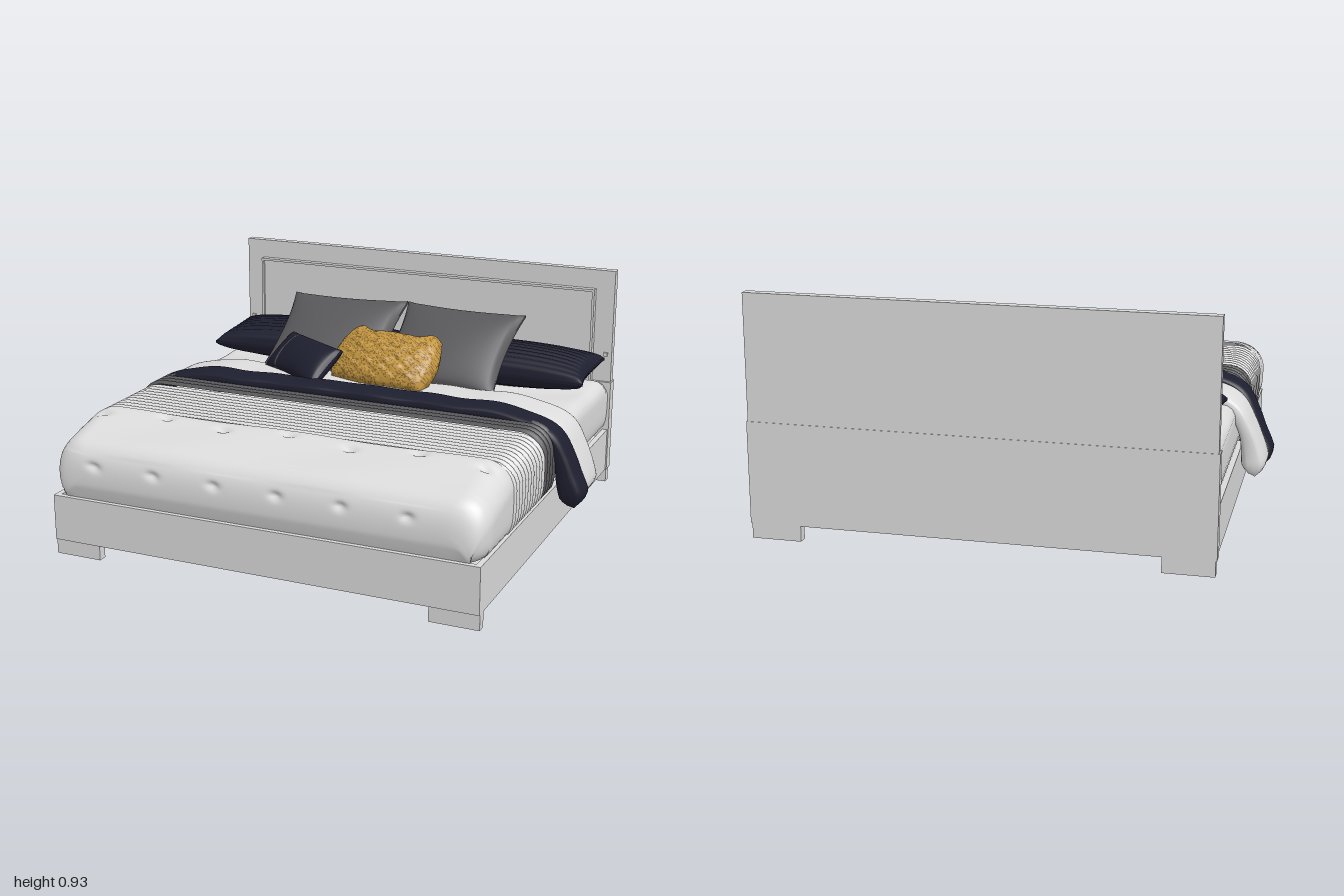
import * as THREE from 'three';
import { mergeGeometries } from 'three/addons/utils/BufferGeometryUtils.js';

const mat = (name, color, side = THREE.FrontSide) => {
  const m = new THREE.MeshStandardMaterial({ color, side });
  m.name = name;
  return m;
};

// Smooth surface from a rule fn(u, v) -> [x, y, z]
function grid(fn, nu, nv) {
  const pos = [], idx = [];
  for (let j = 0; j <= nv; j++) for (let i = 0; i <= nu; i++) pos.push(...fn(i / nu, j / nv));
  for (let j = 0; j < nv; j++) for (let i = 0; i < nu; i++) {
    const a = j * (nu + 1) + i, d = a + nu + 1;
    idx.push(a, a + 1, d, a + 1, d + 1, d);
  }
  const g = new THREE.BufferGeometry();
  g.setAttribute('position', new THREE.Float32BufferAttribute(pos, 3));
  g.setIndex(idx);
  g.computeVertexNormals();
  return g;
}

// Point on an upside-down U with rounded corners and a tucked-in foot, walked from -x to +x
function arch(u, w, h, radius) {
  const r = Math.min(radius, h), side = h - r, arc = Math.PI * r / 2, flat = w - r;
  const s = (u < 0.5 ? u : 1 - u) * 2 * (side + arc + flat), sign = u < 0.5 ? -1 : 1;
  if (s < side) return [sign * (w - 0.03 * Math.exp(-s / 0.025)), s];
  if (s < side + arc) {
    const a = (s - side) / r;
    return [sign * (flat + r * Math.cos(a)), side + r * Math.sin(a)];
  }
  return [sign * Math.max(0, flat - (s - side - arc)), h];
}

// Stuffed cushion: positive pinch gives pointed corners, negative gives a rounded outline
function cushion(w, h, d, { ribs = 0, lump = 0, ears = 0, s0 = -1, s1 = 1, n = 40, pinch = 0.07, fill = 0.45 } = {}) {
  const outline = (s, t) => [
    s * w / 2 * (1 - pinch * (1 - t * t)),
    t * h / 2 * (1 - pinch * 1.3 * (1 - s * s)) + ears * Math.max(0, t) ** 3 * Math.exp(-(((Math.abs(s) - 0.82) / 0.2) ** 2))];
  const face = dir => grid((u, v) => {
    const s = dir > 0 ? s0 + (s1 - s0) * u : s1 - (s1 - s0) * u, t = 2 * v - 1;
    const puff = Math.pow((1 - s * s) * (1 - t * t), fill);
    const rib = ribs ? 0.9 + 0.1 * Math.abs(Math.sin(v * Math.PI * ribs)) : 1;
    const bump = lump * (Math.sin(s * 17 + t * 5) * Math.sin(t * 13 - s * 4) + 0.5 * Math.sin(s * 31) * Math.sin(t * 27));
    return [...outline(s, t), dir * (d / 2 * puff * rib + 0.006 + bump * puff)];
  }, n, n);
  const parts = [face(1), face(-1)];
  // narrow hem joining the two faces
  const rim = [[-1, 1], [1, 1], [1, -1], [-1, -1]];
  if (s0 === -1) parts.push(grid((u, v) => {
    const k = Math.min(3, Math.floor(u * 4)), f = u * 4 - k, a = rim[k], b = rim[(k + 1) % 4];
    return [...outline(a[0] + (b[0] - a[0]) * f, a[1] + (b[1] - a[1]) * f), 0.006 - 0.012 * v];
  }, 4 * n, 1));
  return mergeGeometries(parts);
}

// Assign scattered triangles to a second material
function speckle(g, share) {
  const old = g.index.array, a = [], b = [];
  let seed = 7;
  for (let i = 0; i < old.length; i += 3) {
    seed = (seed * 16807) % 2147483647;
    (seed / 2147483647 < share ? b : a).push(old[i], old[i + 1], old[i + 2]);
  }
  g.setIndex([...a, ...b]);
  g.addGroup(0, a.length, 0);
  g.addGroup(a.length, b.length, 1);
  return g;
}

// Padded cloth lying across the bed and hanging down both sides
function drape(points, zc, hz, thick, slant) {
  const mirrored = points.slice().reverse().map(([x, y]) => [-x, y]);
  const all = [...mirrored, ...points].map(([x, y]) => new THREE.Vector3(x, y, 0));
  const curve = new THREE.CatmullRomCurve3(all);
  return grid((u, v) => {
    const p = curve.getPointAt(u), t = curve.getTangentAt(u), a = v * Math.PI * 2;
    const end = Math.min(u, 1 - u), close = Math.pow(Math.min(1, end / 0.02), 0.5);
    const drop = Math.max(0, 0.52 - p.y);
    const k = (thick + drop * 0.075) * close * (1 + 0.08 * Math.sin(u * 60));
    const c = Math.cos(a), s = Math.sin(a);
    const off = k * Math.sign(s) * Math.pow(Math.abs(s), 0.6);
    return [p.x - t.y * off, p.y + t.x * off,
      zc - slant * drop + hz * (0.75 + 0.25 * close) * Math.sign(c) * Math.pow(Math.abs(c), 0.6) + 0.004 * Math.sin(u * 47)];
  }, 140, 28);
}

export function createModel() {
  const root = new THREE.Group();
  root.name = 'bed';
  const wood = mat('pale grey wood', 0xdadada);
  const linen = mat('white linen', 0xdcdcdc, THREE.DoubleSide);
  const navy = mat('navy fabric', 0x1e1f2f, THREE.DoubleSide);
  const grey = mat('charcoal fabric', 0x58575a, THREE.DoubleSide);
  const gold = mat('gold fabric', 0xc4963f, THREE.DoubleSide);
  const bronze = mat('dark gold fabric', 0x856530, THREE.DoubleSide);

  const add = (name, geo, material, p = [0, 0, 0], r = [0, 0, 0]) => {
    const m = new THREE.Mesh(geo, material);
    m.name = name;
    m.position.set(...p);
    m.rotation.set(r[0], r[1], r[2], 'YXZ');
    root.add(m);
  };
  const box = (name, w, h, d, x, y, z) => add(name, new THREE.BoxGeometry(w, h, d), wood, [x, y, z]);

  // Headboard with two feet left by a cut-out
  const board = new THREE.Shape([[-0.86, 0], [-0.67, 0], [-0.67, 0.06], [0.67, 0.06], [0.67, 0],
    [0.86, 0], [0.86, 0.93], [-0.86, 0.93]].map(p => new THREE.Vector2(...p)));
  add('headboard', new THREE.ExtrudeGeometry(board, { depth: 0.037, bevelEnabled: false }), wood, [0, 0, -0.84]);
  box('headboardLowerPanel', 1.73, 0.39, 0.052, 0, 0.255, -0.816);
  box('headboardPanel', 1.56, 0.6, 0.022, 0, 0.55, -0.796);
  box('panelTopMoulding', 1.56, 0.01, 0.03, 0, 0.845, -0.79);

  // Frame rails and feet
  box('frontRail', 1.72, 0.18, 0.022, 0, 0.15, 0.826);
  for (const s of [-1, 1]) {
    box('sideRail', 0.022, 0.18, 1.61, s * 0.849, 0.15, 0.01);
    box('frontFoot', 0.19, 0.06, 0.036, s * 0.765, 0.03, 0.812);
    box('panelSideMoulding', 0.01, 0.4, 0.03, s * 0.775, 0.64, -0.79);
    box('headboardBolt', 0.016, 0.016, 0.012, s * 0.835, 0.57, -0.80);
  }
  box('baseBoard', 1.68, 0.04, 1.61, 0, 0.185, 0.01);

  // Mattress under a fitted sheet
  add('mattress', grid((u, v) => {
    const z = 0.05 - 0.84 * v, end = Math.min(1, (1 - v) / 0.04);
    const [x, y] = arch(u, 0.855, 0.225 - 0.02 * (1 - end), 0.05);
    return [x, 0.235 + y + (y > 0.19 ? 0.014 * Math.max(0, 1 - x * x * 1.4) + 0.003 * Math.sin(x * 13 + z * 21) : 0), z];
  }, 90, 40), linen);

  // Quilt foot end, rounded over, with one row of tufts on top and one on the front
  add('quiltFoot', grid((u, v) => {
    const a = Math.max(0, 1 - v / 0.6) * Math.PI / 2;
    const z = v < 0.6 ? 0.73 + 0.107 * Math.sin(a) : 0.73 - 0.21 * (v - 0.6) / 0.4;
    const rise = Math.min(1, Math.max(0, (0.75 - z) / 0.2));
    let [x, y] = arch(u, 0.87 - 0.07 * (1 - Math.cos(a)), (0.232 + 0.047 * rise) * Math.sqrt(Math.max(0, Math.cos(a))), 0.11);
    let zz = z - (z > 0.76 ? 0.02 * Math.exp(-y / 0.03) : 0);
    y += 0.235;
    for (let i = 0; i < 7; i++) {
      const topX = -0.78 + 0.26 * i, frontX = -0.68 + 0.253 * i;
      if (y > 0.44) y -= 0.018 * Math.exp(-((x - topX) ** 2) / 0.0008 - (z - (i % 2 ? 0.55 : 0.58)) ** 2 / 0.0003);
      if (z > 0.77 && i < 6) zz -= 0.015 * Math.exp(-((x - frontX) ** 2) / 0.0005 - (y - 0.375) ** 2 / 0.0002);
    }
    return [x, y + (y > 0.42 ? 0.003 * Math.sin(x * 9 + z * 15) : 0), zz];
  }, 150, 60), linen);

  // Pleated quilt bands
  const pleats = (name, z0, z1, count, material, h) => add(name, grid((u, v) => {
    const rib = Math.pow(Math.abs(Math.sin(v * Math.PI * count)), 0.6);
    const [x, y] = arch(u, 0.866 + 0.01 * rib, h + 0.01 * rib, 0.10);
    const sway = y > 0.2 ? 0.002 * Math.sin(x * 11) * Math.sin(v * Math.PI) : 0;
    return [x, 0.235 + y, z0 + (z1 - z0) * v + sway];
  }, 90, count * 8), material);
  pleats('quiltPleats', 0.525, 0.16, 11, linen, 0.263);
  pleats('quiltGreyBand', 0.16, 0.02, 4, grey, 0.272);

  // Turned-back navy quilt edge and sheet fold
  add('navyQuiltEdge', drape([[0.35, 0.522], [0.7, 0.51], [0.84, 0.455], [0.892, 0.37], [0.918, 0.28], [0.95, 0.178]],
    -0.002, 0.066, 0.026, 0.1), navy);
  add('sheetFold', drape([[0.35, 0.505], [0.7, 0.497], [0.84, 0.445], [0.892, 0.36], [0.915, 0.28], [0.932, 0.182]],
    -0.158, 0.1, 0.024, 0.03), linen);

  // Pillows and cushions
  for (const s of [-1, 1]) {
    add('sleepingPillow', cushion(0.82, 0.33, 0.15, { ribs: 10, n: 60, fill: 0.36, pinch: 0.05 }), navy,
      [s * 0.43, 0.547, -0.598], [-Math.PI / 2 + 0.08, 0, 0]);
    add('greyCushion', cushion(0.53, 0.46, 0.13, { pinch: 0.08 }), grey, [s * 0.262, 0.62, -0.44], [-0.98, 0, s * -0.02]);
  }
  const small = [[-0.285, 0.585, -0.175], [-0.85, -0.56, 0]];
  add('smallNavyCushion', cushion(0.37, 0.19, 0.1, { pinch: 0.04 }), navy, ...small);
  add('smallCushionStripe', cushion(0.37, 0.194, 0.106, { pinch: 0.04, s0: -0.56, s1: -0.5, n: 16 }), grey, ...small);
  add('goldCushion', speckle(cushion(0.41, 0.23, 0.16, { lump: 0.005, ears: 0.035, n: 50, pinch: -0.13, fill: 0.4 }), 0.28),
    [gold, bronze], [0.065, 0.597, -0.225], [-0.9, -0.12, 0]);
  return root;
}
